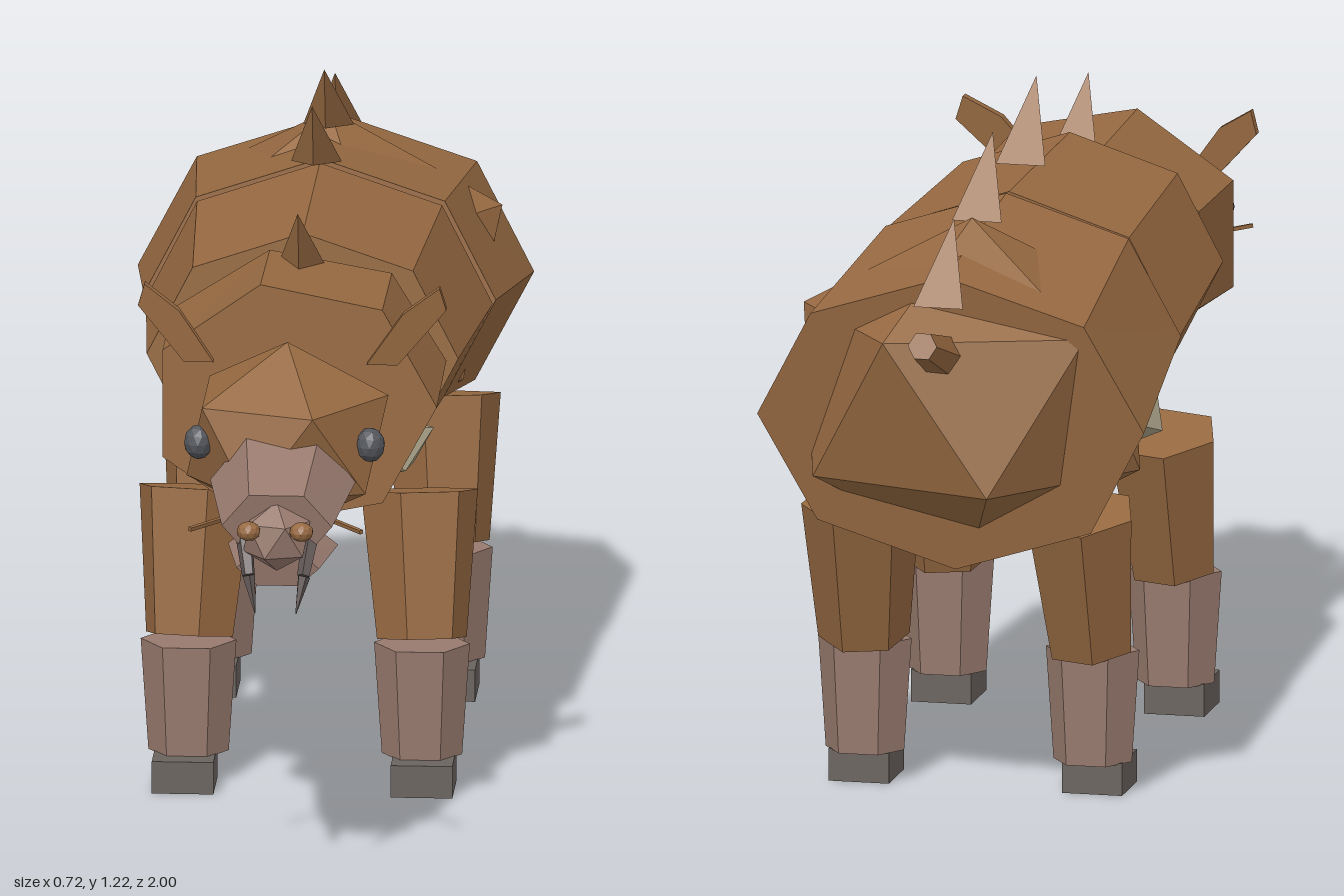
import * as THREE from 'three';

const mat = (name, color) => {
  const m = new THREE.MeshStandardMaterial({ color });
  m.name = name;
  return m;
};

// Faceted normals for any geometry
function facet(geo) {
  const g = geo.index ? geo.toNonIndexed() : geo;
  g.computeVertexNormals();
  return g;
}

// Closed prism along z. Sections run front to back: [z, y, rx, ry, lean of the ring]
function loft(sections, sides, roll = 0) {
  const rings = sections.map(([z, y, rx, ry, lean = 0]) =>
    Array.from({ length: sides }, (_, i) => {
      const a = roll + (i / sides) * Math.PI * 2;
      return [Math.sin(a) * rx, y + Math.cos(a) * ry, z + Math.cos(a) * ry * lean];
    }));
  const centre = (s) => [0, s[1], s[0]];
  const pos = [];
  const tri = (a, b, c) => pos.push(...a, ...b, ...c);
  const last = rings.length - 1;
  for (let i = 0; i < sides; i++) {
    const j = (i + 1) % sides;
    for (let k = 0; k < last; k++) {
      tri(rings[k][i], rings[k][j], rings[k + 1][j]);
      tri(rings[k][i], rings[k + 1][j], rings[k + 1][i]);
    }
    tri(centre(sections[0]), rings[0][j], rings[0][i]);
    tri(centre(sections[last]), rings[last][i], rings[last][j]);
  }
  const g = new THREE.BufferGeometry();
  g.setAttribute('position', new THREE.Float32BufferAttribute(pos, 3));
  return facet(g);
}

// Icosahedron standing on a corner
function ball(rx, ry, rz, detail = 0) {
  const g = new THREE.IcosahedronGeometry(1, detail);
  g.rotateZ(-Math.atan(2 / (1 + Math.sqrt(5))));
  g.scale(rx, ry, rz);
  return facet(g);
}

// Tapered rod between two points
function rod(a, b, ra, rb, sides = 6) {
  const p = new THREE.Vector3(...a), q = new THREE.Vector3(...b);
  const d = q.clone().sub(p);
  const g = new THREE.CylinderGeometry(rb, ra, d.length(), sides, 1, false, Math.PI / 2);
  g.applyQuaternion(new THREE.Quaternion().setFromUnitVectors(new THREE.Vector3(0, 1, 0), d.normalize()));
  g.translate((p.x + q.x) / 2, (p.y + q.y) / 2, (p.z + q.z) / 2);
  return facet(g);
}

// Three-sided back spine leaning forward; origin at its tip
function spineGeometry() {
  const t = [0, 0, 0], f = [0, -0.12, -0.032];
  const l = [0.046, -0.138, -0.127], r = [-0.046, -0.138, -0.127];
  const g = new THREE.BufferGeometry();
  g.setAttribute('position', new THREE.Float32BufferAttribute(
    [t, f, l, t, r, f, t, l, r, f, r, l].flat(), 3));
  return facet(g);
}

// Thin ear plate swept backwards towards its tip
function earGeometry(s) {
  const pts = [[0.139, 0.91], [0.194, 0.903], [0.28, 0.997], [0.268, 1.039], [0.203, 0.997]];
  const shape = new THREE.Shape(pts.map(([x, y]) => new THREE.Vector2(x * s, y)));
  const g = new THREE.ExtrudeGeometry(shape, { depth: 0.02, bevelEnabled: false });
  const p = g.attributes.position;
  for (let i = 0; i < p.count; i++) {
    p.setZ(i, p.getZ(i) + 0.53 - 0.45 * (Math.abs(p.getX(i)) - 0.139));
  }
  return facet(g);
}

export function createModel() {
  const model = new THREE.Group();
  model.name = 'spinyBeast';

  const hide = mat('brown hide', 0x966941);
  const skin = mat('pinkish skin', 0x987a6e);
  const hoof = mat('grey hoof', 0x6a635d);
  const pale = mat('pale belly', 0xa39c84);
  const eye = mat('dark eye', 0x53565c);
  const ivory = mat('dark fang', 0x5f5654);

  const add = (name, geo, material, x = 0, y = 0, z = 0) => {
    const m = new THREE.Mesh(geo, material);
    m.name = name;
    m.position.set(x, y, z);
    model.add(m);
    return m;
  };

  // Trunk in three pieces
  add('neck', loft([[0.473, 0.81, 0.262, 0.23, -0.03], [0.2, 0.822, 0.262, 0.208, -0.02]], 7, -0.227), hide);
  add('chest', loft([[0.19, 0.824, 0.283, 0.228, -0.05], [-0.292, 0.794, 0.315, 0.256, -0.05]], 8), hide);
  add('hindBody', loft([[-0.304, 0.798, 0.32, 0.254, -0.09], [-0.77, 0.723, 0.36, 0.28, -0.14]], 8), hide);
  add('rump', ball(0.35, 0.313, 0.35), hide, 0, 0.755, -0.6);
  add('belly', ball(0.25, 0.08, 0.24), pale, 0, 0.592, -0.045).rotation.x = -0.2;
  add('tail', rod([0, 0.85, -0.8], [0, 0.917, -0.995], 0.045, 0.027), hide);

  // Spines along the back: tip height and depth
  const spine = spineGeometry();
  [[1.13, 0.328], [1.217, -0.086], [1.19, -0.434], [1.098, -0.742]].forEach(([y, z], i) =>
    add('spine' + (i + 1), spine, hide, 0, y, z));

  // Head
  add('head', ball(0.205, 0.175, 0.21), hide, 0, 0.795, 0.62);
  add('muzzle', loft([[0.925, 0.708, 0.1, 0.07, 0.2], [0.75, 0.745, 0.132, 0.1, 0.12]], 6, Math.PI / 6), skin);
  add('lowerJaw', loft([[0.9, 0.622, 0.075, 0.04, 0.2], [0.745, 0.625, 0.1, 0.046]], 6, Math.PI / 6), skin);
  add('nose', ball(0.068, 0.065, 0.065), skin, 0, 0.69, 0.927);

  for (const s of [1, -1]) {
    const side = s > 0 ? 'left' : 'right';
    add(side + 'Ear', earGeometry(s), hide);
    add(side + 'Eye', ball(0.027, 0.032, 0.03, 1), eye, 0.156 * s, 0.803, 0.705);
    add(side + 'Nostril', ball(0.022, 0.018, 0.022, 1), hide, 0.048 * s, 0.713, 0.979);
    add(side + 'Whisker', rod([0.085 * s, 0.71, 0.868], [0.156 * s, 0.71, 0.962], 0.005, 0.005, 4), hide);

    // Curved fang
    add(side + 'FangRoot', rod([0.06 * s, 0.68, 0.905], [0.05 * s, 0.62, 0.945], 0.016, 0.012, 5), ivory);
    add(side + 'FangTip', rod([0.05 * s, 0.62, 0.945], [0.037 * s, 0.555, 0.965], 0.012, 0.001, 5), ivory);

    // Legs, the hind pair repeating the front pair
    for (const [pair, dz] of [['Front', 0], ['Hind', -0.655]]) {
      const name = side + pair;
      add(name + 'Thigh', rod([0.203 * s, 0.533, 0.038], [0.211 * s, 0.272, 0.098], 0.108, 0.083), hide, 0, 0, dz);
      const shin = rod([0, 0.266, 0], [0, 0.058, 0], 0.087, 0.073);
      shin.scale(1, 1, 0.86);
      add(name + 'Shin', facet(shin), skin, 0.212 * s, 0, 0.11 + dz);
      add(name + 'Foot', facet(new THREE.BoxGeometry(0.112, 0.06, 0.122)), hoof, 0.217 * s, 0.03, 0.143 + dz);
    }
  }
  return model;
}
